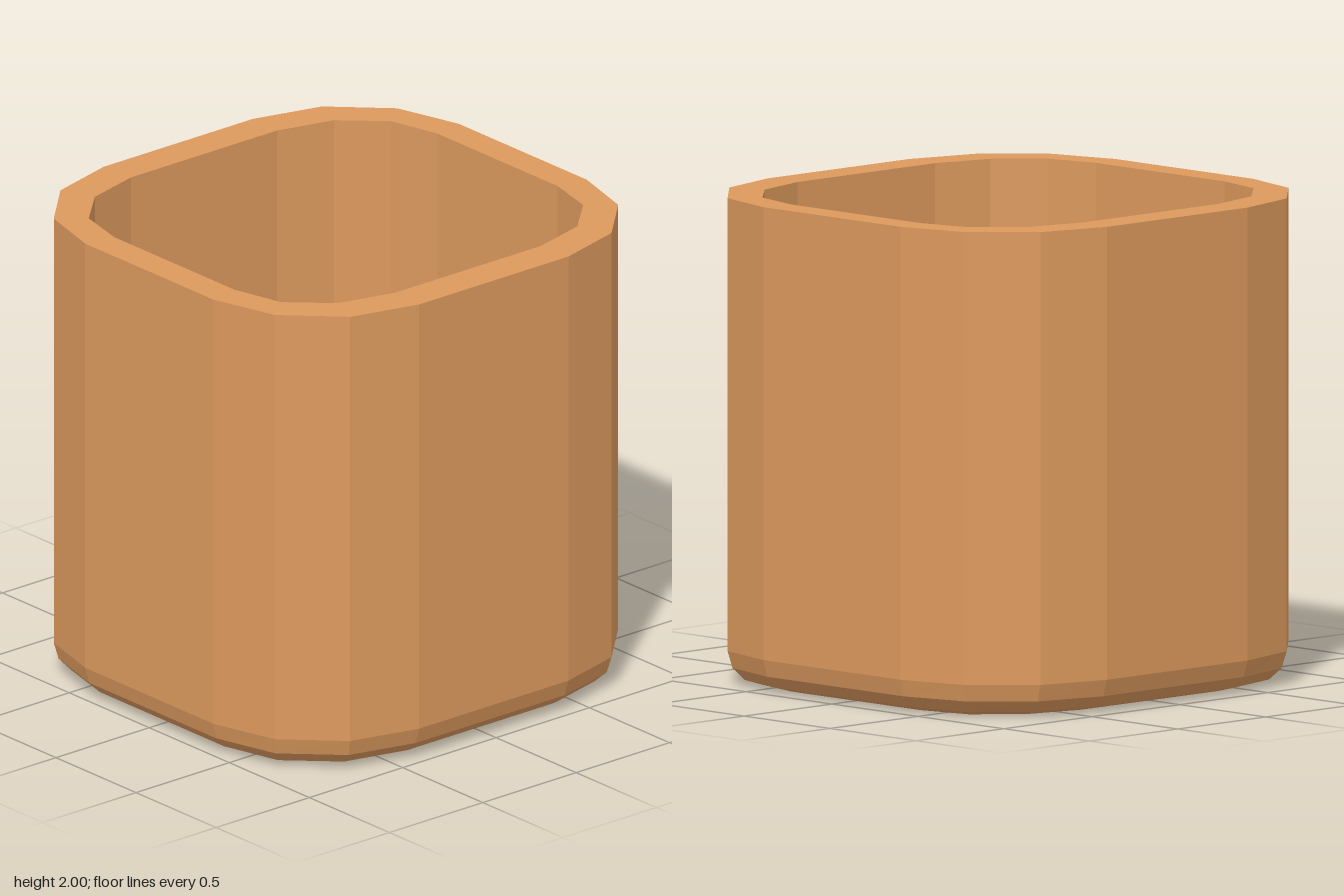
import * as THREE from 'three';

// One corner of the rounded-square outline, [x, z], outer and inner wall
const OUTER = [[1, 0.4], [0.92, 0.69], [0.7, 0.905], [0.4, 0.985]];
const INNER = [[0.865, 0.375], [0.81, 0.6], [0.64, 0.76], [0.39, 0.825]];

// Full outline at height y; t blends from outer (0) to inner (1)
function ring(t, y) {
  const q = OUTER.map(([x, z], i) => [
    THREE.MathUtils.lerp(x, INNER[i][0], t),
    THREE.MathUtils.lerp(z, INNER[i][1], t),
  ]);
  const r = [...q].reverse();
  return [
    ...q,
    ...r.map(([x, z]) => [-x, z]),
    ...q.map(([x, z]) => [-x, -z]),
    ...r.map(([x, z]) => [x, -z]),
  ].map(([x, z]) => [x, y, z]);
}

// Join successive rings with quads, closing both ends with a fan
function loft(rings, startCentre, endCentre) {
  const pos = [];
  const tri = (a, b, c) => pos.push(...a, ...b, ...c);
  const n = rings[0].length;
  const last = rings.length - 1;
  for (let i = 0; i < n; i++) {
    const k = (i + 1) % n;
    tri(startCentre, rings[0][i], rings[0][k]);
    for (let j = 0; j < last; j++) {
      const a = rings[j], b = rings[j + 1];
      tri(a[i], b[i], a[k]);
      tri(b[i], b[k], a[k]);
    }
    tri(rings[last][i], endCentre, rings[last][k]);
  }
  const geo = new THREE.BufferGeometry();
  geo.setAttribute('position', new THREE.Float32BufferAttribute(pos, 3));
  geo.computeVertexNormals();
  return geo;
}

export function createModel() {
  const group = new THREE.Group();
  group.name = 'openContainer';

  // Rounded base, straight outer wall, flat rim, inner wall, floor
  const profile = [
    [1, 0], [0.5, 0.02], [0.14, 0.07], [0, 0.14],
    [0, 2], [1, 2], [1, 0.14],
  ];
  const shell = new THREE.Mesh(
    loft(profile.map(([t, y]) => ring(t, y)), [0, 0, 0], [0, 0.14, 0]),
    new THREE.MeshStandardMaterial({ color: 0xdd9a5e, flatShading: true })
  );
  shell.name = 'containerShell';
  group.add(shell);
  return group;
}
